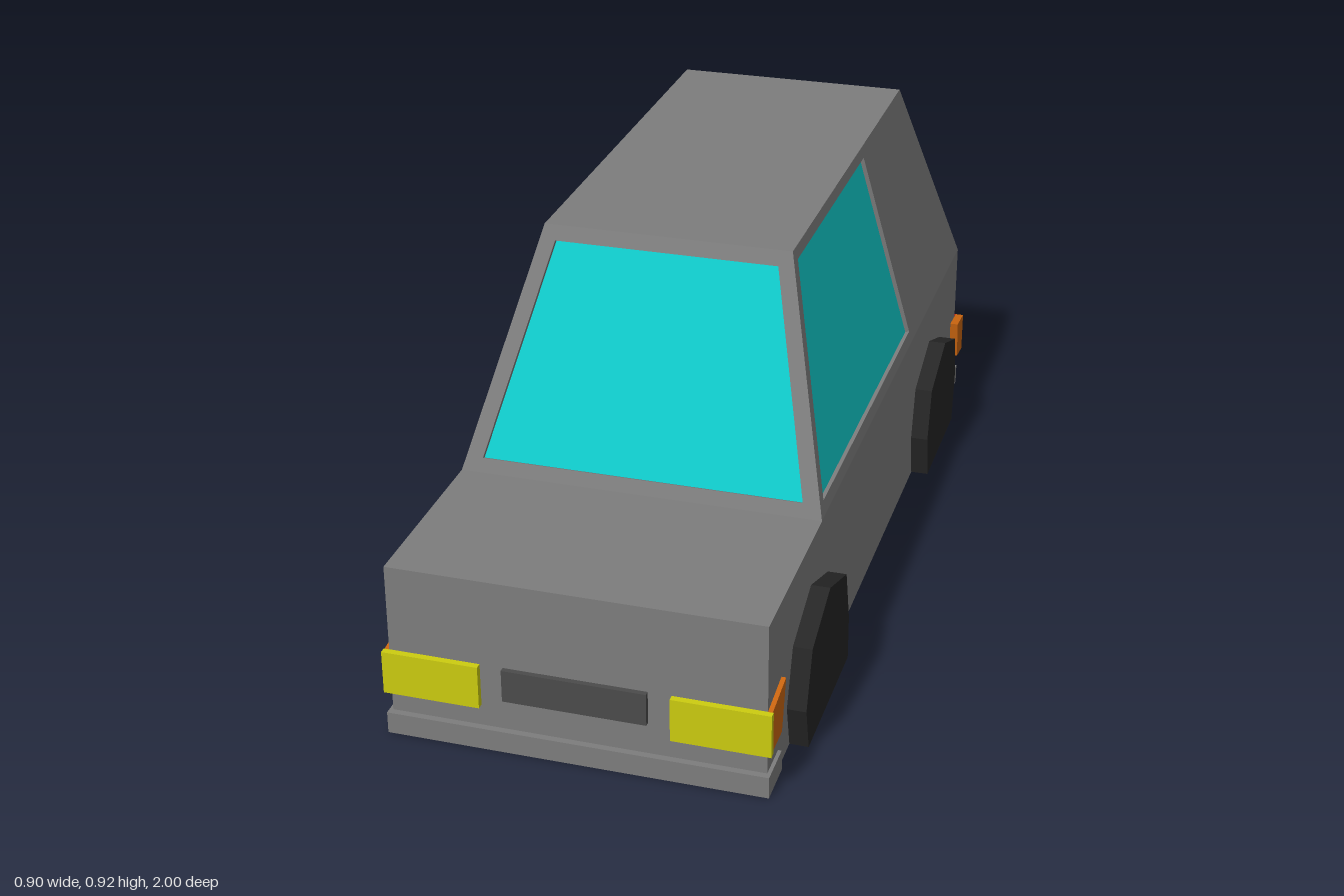
import * as THREE from 'three';

const mat = (name, color) => {
  const m = new THREE.MeshStandardMaterial({ color });
  m.name = name;
  return m;
};

// flat-shaded mesh geometry from quads, corners counter-clockwise from outside
function quadGeometry(quads) {
  const pos = [];
  for (const [a, b, c, d] of quads) for (const p of [a, b, c, a, c, d]) pos.push(p.x, p.y, p.z);
  const g = new THREE.BufferGeometry();
  g.setAttribute('position', new THREE.Float32BufferAttribute(pos, 3));
  g.computeVertexNormals();
  return g;
}

export function createModel() {
  const car = new THREE.Group();
  car.name = 'car';
  const paint = mat('grey paint', 0x7d7d7d);
  const glass = mat('cyan glass', 0x10cccc);
  const rubber = mat('black rubber', 0x262626);
  const trim = mat('dark trim', 0x4b4b4b);
  const yellow = mat('yellow lamp', 0xcccc10);
  const red = mat('red lamp', 0xcc0c0c);
  const orange = mat('orange lamp', 0xcc6610);

  const add = (name, geometry, material) => {
    const m = new THREE.Mesh(geometry, material);
    m.name = name;
    car.add(m);
    return m;
  };
  const box = (name, material, x0, x1, y0, y1, z0, z1) =>
    add(name, new THREE.BoxGeometry(x1 - x0, y1 - y0, z1 - z0), material)
      .position.set((x0 + x1) / 2, (y0 + y1) / 2, (z0 + z1) / 2);
  // side profile given as [z, y], extruded outward on both sides of the car
  const sidePair = (name, material, profile, x0, x1) => {
    const shape = new THREE.Shape(profile.map(([z, y]) => new THREE.Vector2(-z, y)));
    const g = new THREE.ExtrudeGeometry(shape, { depth: x1 - x0, bevelEnabled: false });
    g.rotateY(Math.PI / 2);
    add(name + 'Left', g.clone().translate(x0, 0, 0), material);
    add(name + 'Right', g.translate(-x1, 0, 0), material);
  };

  // lower body
  box('lowerBody', paint, -0.41, 0.41, 0, 0.4, -0.98, 0.985);

  // cabin: tapered, with sunken windows in the front and sides
  const Y0 = 0.4, Y1 = 0.915;
  const V = (x, y, z) => new THREE.Vector3(x, y, z);
  const slope = (y, low, high) => low + (high - low) * (y - Y0) / (Y1 - Y0);
  const onSide = (s, y, z) => V(s * slope(y, 0.41, 0.28), y, z);
  const onFront = (x, y) => V(x, y, slope(y, 0.55, 0.325));
  const corner = (s, front, top) =>
    V(s * (top ? 0.28 : 0.41), top ? Y1 : Y0, front ? (top ? 0.325 : 0.55) : (top ? -0.755 : -0.98));

  const cabin = [
    [corner(-1, 1, 1), corner(1, 1, 1), corner(1, 0, 1), corner(-1, 0, 1)],
    [corner(1, 0, 0), corner(-1, 0, 0), corner(-1, 0, 1), corner(1, 0, 1)],
  ];
  const windowPanel = (name, outer, inner) => {
    const n = inner[1].clone().sub(inner[0]).cross(inner[3].clone().sub(inner[0])).normalize();
    const sunk = inner.map(p => p.clone().addScaledVector(n, -0.01));
    for (let i = 0; i < 4; i++) {
      const j = (i + 1) % 4;
      cabin.push([outer[i], outer[j], inner[j], inner[i]]);
      cabin.push([inner[i], inner[j], sunk[j], sunk[i]]);
    }
    add(name, quadGeometry([sunk]), glass);
  };
  windowPanel('windshield',
    [corner(-1, 1, 0), corner(1, 1, 0), corner(1, 1, 1), corner(-1, 1, 1)],
    [onFront(-0.364, 0.43), onFront(0.364, 0.43), onFront(0.252, 0.883), onFront(-0.252, 0.883)]);
  for (const s of [1, -1]) {
    const outer = [corner(s, 1, 0), corner(s, 0, 0), corner(s, 0, 1), corner(s, 1, 1)];
    const inner = [onSide(s, 0.428, 0.51), onSide(s, 0.428, -0.375),
      onSide(s, 0.89, -0.325), onSide(s, 0.89, 0.305)];
    if (s < 0) { outer.reverse(); inner.reverse(); }
    windowPanel(s > 0 ? 'sideWindowLeft' : 'sideWindowRight', outer, inner);
  }
  add('cabin', quadGeometry(cabin), paint);

  // wheels: faceted, flat at the ground
  sidePair('frontWheel', rubber, [[0.803, 0], [0.83, 0.105], [0.787, 0.232], [0.637, 0.293],
    [0.482, 0.237], [0.445, 0.105], [0.445, 0]], 0.41, 0.452);
  sidePair('rearWheel', rubber, [[-0.445, 0], [-0.423, 0.11], [-0.455, 0.232], [-0.616, 0.293],
    [-0.76, 0.24], [-0.787, 0.125], [-0.766, 0]], 0.41, 0.452);

  // bumpers wrapping round the corners
  box('frontBumper', paint, -0.418, 0.418, 0, 0.05, 0.985, 1);
  sidePair('frontBumperEnd', paint, [[0.985, 0], [0.985, 0.05], [0.9, 0.05], [0.895, 0]], 0.41, 0.418);
  box('rearBumper', paint, -0.42, 0.42, 0, 0.05, -0.993, -0.98);
  sidePair('rearBumperEnd', paint, [[-0.925, 0], [-0.935, 0.05], [-0.98, 0.05], [-0.98, 0]], 0.41, 0.42);

  // lamps
  for (const s of [1, -1]) {
    const [a, b] = s > 0 ? [0.208, 0.422] : [-0.422, -0.208];
    const side = s > 0 ? 'Left' : 'Right';
    box('headlight' + side, yellow, a, b, 0.1, 0.2, 0.985, 1);
    box('tailLight' + side, red, a, b, 0.1, 0.2, -1, -0.98);
  }
  sidePair('frontIndicator', orange, [[0.998, 0.103], [0.998, 0.198], [0.88, 0.217], [0.908, 0.103]], 0.41, 0.42);
  sidePair('rearIndicator', orange, [[-0.935, 0.107], [-0.92, 0.207], [-1, 0.2], [-1, 0.1]], 0.41, 0.43);

  // grille and rear plate
  box('grille', trim, -0.157, 0.157, 0.125, 0.2, 0.985, 0.997);
  box('rearPlate', trim, -0.157, 0.157, 0.2, 0.297, -0.997, -0.98);

  return car;
}
